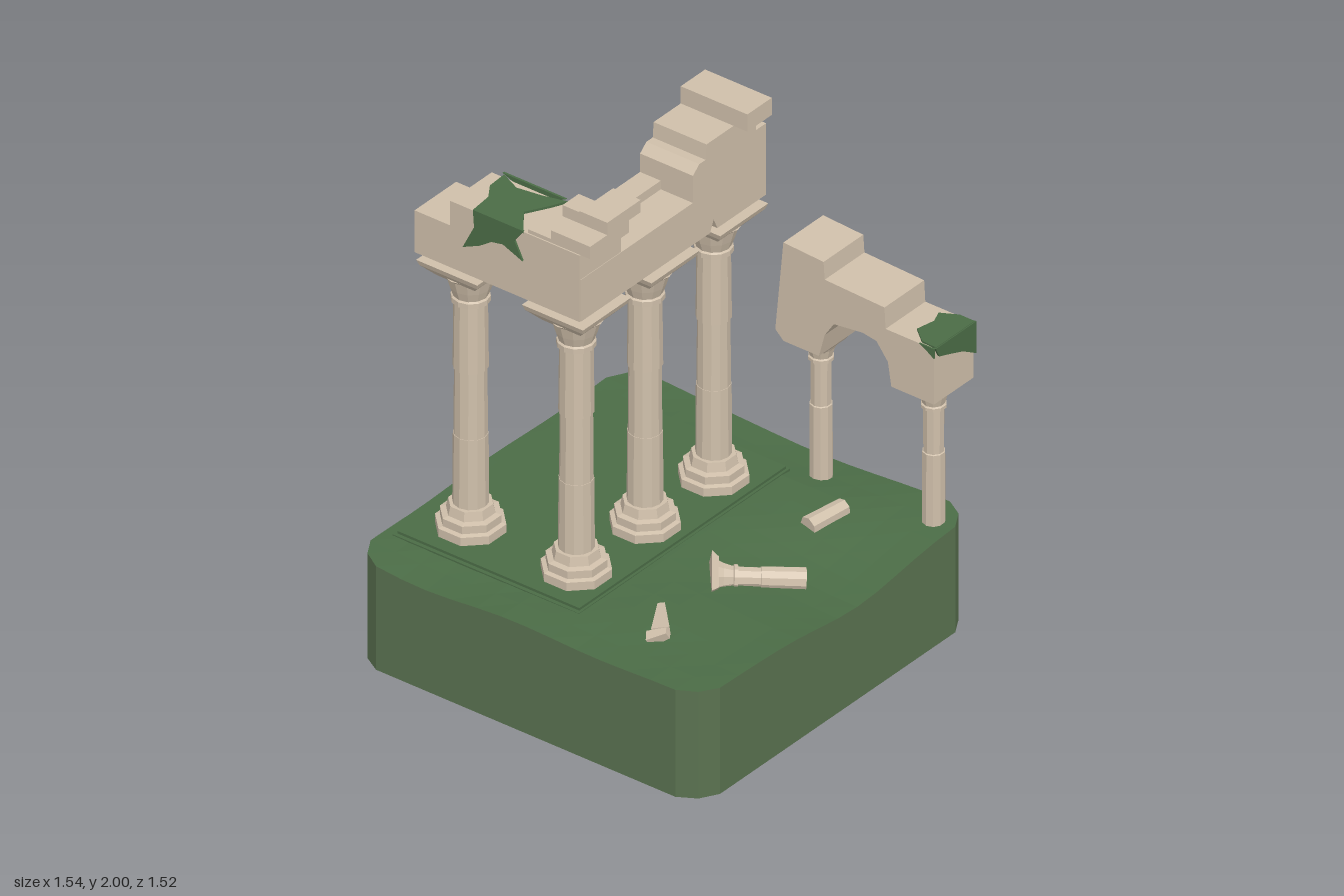
import * as THREE from 'three';

const mat = (name, color) => {
  const m = new THREE.MeshStandardMaterial({ color });
  m.name = name;
  m.flatShading = true;
  return m;
};

export function createModel() {
  const stone = mat('weathered stone', 0xcfbfaa);
  const soil = mat('soil side green', 0x5a7250);
  const grass = mat('moss green', 0x4b6c46);
  const root = new THREE.Group();
  root.name = 'ruin';

  const add = (name, geo, m, parent = root) => {
    const mesh = new THREE.Mesh(geo, m);
    mesh.name = name;
    parent.add(mesh);
    return mesh;
  };
  const block = (name, x0, x1, y0, y1, z0, z1, m = stone) => {
    const mesh = add(name, new THREE.BoxGeometry(x1 - x0, y1 - y0, z1 - z0), m);
    mesh.position.set((x0 + x1) / 2, (y0 + y1) / 2, (z0 + z1) / 2);
    return mesh;
  };
  const shape = pts => new THREE.Shape(pts.map(p => new THREE.Vector2(p[0], p[1])));
  const extrude = (pts, depth) => new THREE.ExtrudeGeometry(shape(pts), { depth, bevelEnabled: false });
  const lathe = (pts, n) => new THREE.LatheGeometry(pts.map(p => new THREE.Vector2(p[0], p[1])), n);
  // Square frustum given by half widths
  const frustum = (top, bottom, h) =>
    new THREE.CylinderGeometry(top * Math.SQRT2, bottom * Math.SQRT2, h, 4).rotateY(Math.PI / 4);

  // Ground: a block with a rolling top and clipped corners
  const height = (x, z) => {
    const right = THREE.MathUtils.smoothstep(x, 0.05, 0.7);
    const dip = 0.055 * Math.exp(-(((z + 0.1) / 0.3) ** 2)) * right;
    const front = 0.018 * Math.exp(-(((x + 0.5) / 0.25) ** 2)) * THREE.MathUtils.smoothstep(z, 0.5, 0.76);
    const back = 0.03 * Math.exp(-((x / 0.3) ** 2)) * THREE.MathUtils.smoothstep(-z, 0.5, 0.76);
    return 0.43 - dip - front - back + 0.005 * Math.sin(9 * x + 2) * Math.cos(8 * z);
  };
  const ground = new THREE.BoxGeometry(1.52, 0.44, 1.52, 14, 1, 14);
  const p = ground.attributes.position;
  for (let i = 0; i < p.count; i++) {
    let x = p.getX(i), z = p.getZ(i);
    const over = Math.max(0, Math.abs(x) + Math.abs(z) - 1.44) / 2;
    x -= Math.sign(x) * over;
    z -= Math.sign(z) * over;
    p.setXYZ(i, x - 0.01, p.getY(i) > 0 ? height(x, z) : 0, z);
  }
  ground.computeVertexNormals();
  add('ground', ground, [soil, soil, grass, soil, soil, soil]);

  // Temple floor
  block('lowerFloor', -0.73, 0.08, 0.38, 0.432, -0.59, 0.58, grass);
  block('upperFloor', -0.72, 0.07, 0.40, 0.442, -0.58, 0.565, grass);

  // Tall columns: moulded octagonal base, three drums, flared capital, abacus
  const tallColumn = (x, z) => {
    const g = new THREE.Group();
    g.name = 'tallColumn';
    g.position.set(x, 0, z);
    root.add(g);
    add('columnBase', lathe([[0, 0.43], [0.127, 0.43], [0.127, 0.475], [0.11, 0.48], [0.11, 0.51],
      [0.088, 0.515], [0.08, 0.55], [0, 0.55]], 8).rotateY(Math.PI / 8), stone, g);
    [[0.55, 0.83, 0.064, 0.062], [0.83, 1.1, 0.06, 0.058], [1.1, 1.375, 0.063, 0.06]].forEach(([a, b, r0, r1]) => {
      const drum = new THREE.CylinderGeometry(r1, r0, b - a, 12);
      add('columnDrum', drum.translate(0, (a + b) / 2, 0), stone, g);
    });
    add('capital', lathe([[0, 1.37], [0.07, 1.37], [0.07, 1.39], [0.063, 1.395], [0.075, 1.43],
      [0.088, 1.475], [0.105, 1.49], [0, 1.49]], 12), stone, g);
    add('abacusSlope', frustum(0.125, 0.083, 0.045).translate(0, 1.4975, 0), stone, g);
    add('abacus', frustum(0.133, 0.125, 0.022).translate(0, 1.531, 0), stone, g);
  };
  tallColumn(-0.54, 0.39);
  [0.39, 0.01, -0.37].forEach(z => tallColumn(-0.08, z));

  // Beams on the tall columns
  const frontBeam = extrude([[-0.69, 1.56], [0.028, 1.56], [0.028, 1.83], [-0.535, 1.83],
    [-0.535, 1.73], [-0.69, 1.73]], 0.23);
  add('frontBeam', frontBeam, stone).position.z = 0.28;
  const sideBeam = extrude([[0.505, 1.56], [0.505, 1.73], [-0.115, 1.73], [-0.115, 1.84], [-0.15, 1.87],
    [-0.185, 1.87], [-0.19, 1.93], [-0.46, 1.93], [-0.465, 1.85], [-0.52, 1.85], [-0.52, 1.56],
    [-0.25, 1.56], [-0.23, 1.605], [-0.21, 1.56]], 0.23);
  const side = add('sideBeam', sideBeam, stone);
  side.rotation.y = -Math.PI / 2;
  side.position.x = 0.03;
  block('beamLedge', -0.2, -0.11, 1.72, 1.765, -0.115, 0.08);
  block('topBlock', -0.2, 0.09, 1.93, 2.0, -0.475, -0.34);
  block('cornerSlab', -0.1, 0.07, 1.83, 1.88, 0.29, 0.505);
  block('cornerCap', -0.05, 0.07, 1.88, 1.93, 0.225, 0.41);
  block('cornerCapEnd', -0.125, -0.05, 1.88, 1.925, 0.32, 0.41);
  block('cornerStep', -0.2, -0.1, 1.82, 1.845, 0.44, 0.505);

  // Moss draped over the front beam
  const drape = extrude([[-0.43, 1.838], [-0.425, 1.77], [-0.475, 1.67], [-0.4, 1.705], [-0.35, 1.74],
    [-0.3, 1.75], [-0.215, 1.715], [-0.25, 1.785], [-0.21, 1.838]], 0.008);
  add('frontMossDrape', drape, grass).position.z = 0.51;
  const topMoss = extrude([[-0.485, -0.275], [-0.4, -0.315], [-0.3, -0.3], [-0.21, -0.275], [-0.235, -0.33],
    [-0.285, -0.42], [-0.21, -0.518], [-0.43, -0.518], [-0.44, -0.42], [-0.48, -0.36]].reverse(), 0.009);
  const moss = add('topMoss', topMoss, grass);
  moss.rotation.x = -Math.PI / 2;
  moss.position.y = 1.83;
  // Raised back edge of the moss
  const mossRidge = extrude([[-0.485, 1.85], [-0.44, 1.832], [-0.25, 1.832], [-0.21, 1.85]], 0.009);
  add('mossRidge', mossRidge, grass).position.z = 0.275;

  // Small columns under the broken arch
  const smallShaft = len => [[0, 0], [0.042, 0], [0.041, len * 0.62], [0.037, len * 0.625], [0.038, len], [0, len]];
  const smallCapital = [[0, 0], [0.046, 0], [0.046, 0.012], [0.04, 0.016], [0.05, 0.05], [0.062, 0.075], [0, 0.075]];
  [0.175, 0.665].forEach(x => {
    const g = new THREE.Group();
    g.name = 'smallColumn';
    g.position.set(x, 0.41, -0.64);
    root.add(g);
    add('smallShaft', lathe(smallShaft(0.49), 10), stone, g);
    add('smallCapital', lathe(smallCapital, 10).translate(0, 0.485, 0), stone, g);
    add('smallAbacus', frustum(0.08, 0.06, 0.03).translate(0, 0.57, 0), stone, g);
  });

  // Broken arch with a stepped top
  const arch = extrude([[0.07, 1.03], [0.105, 0.995], [0.26, 0.995], [0.285, 1.09], [0.325, 1.15], [0.45, 1.165],
    [0.51, 1.155], [0.56, 1.09], [0.575, 0.995], [0.76, 0.995], [0.76, 1.22], [0.55, 1.22], [0.545, 1.305],
    [0.285, 1.315], [0.28, 1.385], [0.105, 1.395]], 0.22);
  add('brokenArch', arch, stone).position.z = -0.74;

  // Moss on the arch end: top, end face and a lip on the front
  const archTop = add('archMossTop', extrude([[0.765, 0.525], [0.765, 0.74], [0.7, 0.735], [0.64, 0.685],
    [0.655, 0.61], [0.635, 0.56], [0.7, 0.525]], 0.009), grass);
  archTop.geometry.scale(1, -1, 1);
  const idx = archTop.geometry.attributes.position;
  // Restore winding after the mirror by swapping two corners of every face
  for (let i = 0; i < idx.count; i += 3) {
    const a = new THREE.Vector3().fromBufferAttribute(idx, i);
    const b = new THREE.Vector3().fromBufferAttribute(idx, i + 1);
    idx.setXYZ(i, b.x, b.y, b.z);
    idx.setXYZ(i + 1, a.x, a.y, a.z);
  }
  archTop.geometry.computeVertexNormals();
  archTop.geometry.rotateX(-Math.PI / 2).translate(0, 1.218, 0);
  archTop.geometry.scale(1, 1, -1).scale(1, 1, -1);
  // Turn the plate so that it lies over the arch end
  archTop.geometry.translate(0, 0, -1.265);
  const archEnd = add('archMossEnd', extrude([[-0.52, 1.225], [-0.54, 1.185], [-0.6, 1.165], [-0.67, 1.14],
    [-0.745, 1.095], [-0.745, 1.225]], 0.009), grass);
  archEnd.rotation.y = -Math.PI / 2;
  archEnd.position.x = 0.769;
  add('archMossFront', extrude([[0.7, 1.225], [0.735, 1.205], [0.765, 1.185], [0.765, 1.225]], 0.006), grass)
    .position.z = -0.52;

  // Fallen pieces, each laid along a line from a to b
  const lay = (name, a, b) => {
    const g = new THREE.Group();
    g.name = name;
    const from = new THREE.Vector3(...a);
    const dir = new THREE.Vector3(...b).sub(from).normalize();
    g.position.copy(from);
    g.quaternion.setFromUnitVectors(new THREE.Vector3(0, 1, 0), dir);
    root.add(g);
    return g;
  };
  const fallen = lay('fallenColumn', [0.53, 0.405, -0.105], [0.28, 0.425, 0.11]);
  add('fallenShaft', lathe(smallShaft(0.25), 10), stone, fallen);
  add('fallenCapital', lathe(smallCapital, 10).translate(0, 0.235, 0), stone, fallen);
  add('fallenAbacus', frustum(0.072, 0.055, 0.025).translate(0, 0.315, 0), stone, fallen);
  const stub = lay('fallenStub', [0.35, 0.425, -0.345], [0.38, 0.435, -0.51]);
  add('stubShaft', new THREE.CylinderGeometry(0.034, 0.038, 0.165, 7).translate(0, 0.082, 0), stone, stub);
  const shard = lay('fallenShard', [0.275, 0.435, 0.37], [0.4, 0.43, 0.53]);
  add('shardWedge', new THREE.CylinderGeometry(0.045, 0.018, 0.18, 4).translate(0, 0.09, 0), stone, shard);
  const chip = lay('fallenChip', [0.37, 0.43, 0.55], [0.44, 0.47, 0.515]);
  add('chipWedge', new THREE.CylinderGeometry(0.02, 0.03, 0.075, 4).translate(0, 0.03, 0), stone, chip);

  return root;
}
